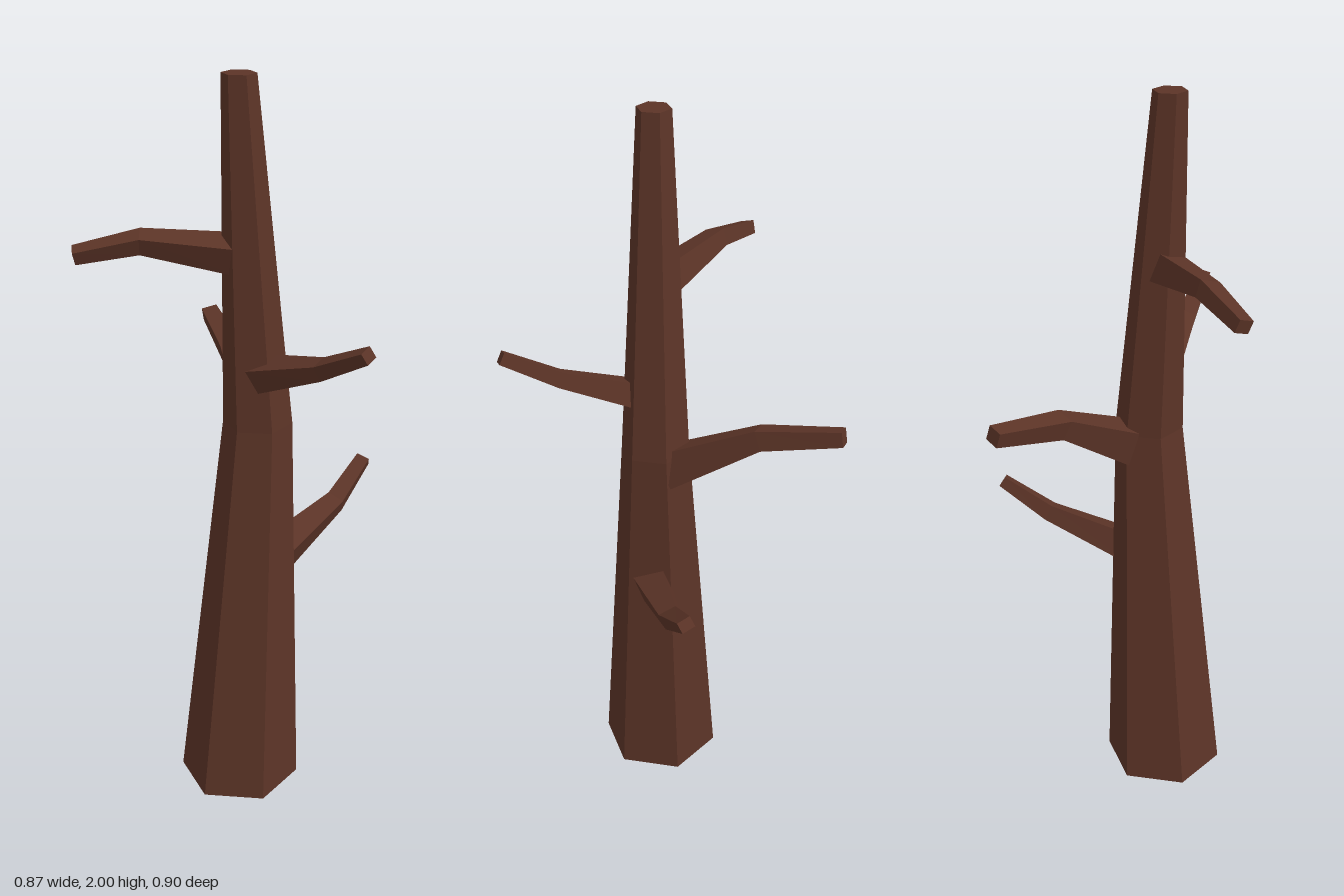
import * as THREE from 'three';

const V = (x, y, z) => new THREE.Vector3(x, y, z);

// Capped skin over a list of rings, each an equal-length loop of points
function loft(rings, material, name) {
  const pos = [];
  const tri = (...pts) => pts.forEach((p) => pos.push(p.x, p.y, p.z));
  const n = rings[0].length;
  for (let i = 0; i < rings.length - 1; i++) {
    for (let j = 0; j < n; j++) {
      const k = (j + 1) % n;
      const [a, b, c, d] = [rings[i][j], rings[i][k], rings[i + 1][k], rings[i + 1][j]];
      tri(a, b, c);
      tri(a, c, d);
    }
  }
  const first = rings[0], last = rings[rings.length - 1];
  for (let j = 1; j < n - 1; j++) {
    tri(first[0], first[j + 1], first[j]);
    tri(last[0], last[j], last[j + 1]);
  }
  const geo = new THREE.BufferGeometry();
  geo.setAttribute('position', new THREE.Float32BufferAttribute(pos, 3));
  geo.computeVertexNormals();
  const mesh = new THREE.Mesh(geo, material);
  mesh.name = name;
  return mesh;
}

// Level hexagon with corners pointing along z
function hexRing([x, y, z, r]) {
  return Array.from({ length: 6 }, (_, i) => {
    const a = (i * Math.PI) / 3;
    return V(x + r * Math.sin(a), y, z + r * Math.cos(a));
  });
}

// Rectangular cross-sections across a bent path, rolled about its direction
function branchRings(sections, roll) {
  const pts = sections.map(([x, y, z]) => V(x, y, z));
  return sections.map(([, , , w, h], i) => {
    const t = pts[Math.min(i + 1, pts.length - 1)].clone().sub(pts[Math.max(i - 1, 0)]).normalize();
    const up = V(0, 1, 0).addScaledVector(t, -t.y).normalize().applyAxisAngle(t, roll);
    const side = t.clone().cross(up);
    return [[1, -1], [1, 1], [-1, 1], [-1, -1]].map(([a, b]) =>
      pts[i].clone().addScaledVector(up, (a * h) / 2).addScaledVector(side, (b * w) / 2));
  });
}

export function createModel() {
  const group = new THREE.Group();
  group.name = 'bareTree';
  const bark = new THREE.MeshStandardMaterial({ color: 0x5c3427, flatShading: true });

  // Bent, tapering trunk: x, y, z, radius
  const trunk = [[-0.052, 0, 0.07, 0.167], [0.005, 1.09, 0.064, 0.092], [-0.05, 2, 0.071, 0.044]];
  group.add(loft(trunk.map(hexRing), bark, 'trunk'));

  // Branches: x, y, z, width, height per section
  const branches = [
    ['leftBranch', 0.35, [[0.04, 0.67, 0.075, 0.09, 0.085], [0.295, 0.75, -0.035, 0.05, 0.045], [0.417, 0.835, -0.1, 0.038, 0.03]]],
    ['rightBranch', -0.3, [[-0.03, 1.55, 0.07, 0.085, 0.08], [-0.27, 1.583, -0.046, 0.056, 0.045], [-0.425, 1.55, -0.106, 0.04, 0.035]]],
    ['frontBranch', 0.3, [[-0.012, 1.235, 0.09, 0.09, 0.07], [0.072, 1.31, 0.3, 0.048, 0.042], [0.125, 1.385, 0.437, 0.038, 0.032]]],
    ['backBranch', -0.2, [[0.025, 1.045, 0.02, 0.095, 0.1], [0.055, 1.183, -0.225, 0.06, 0.055], [0.079, 1.225, -0.44, 0.044, 0.04]]],
  ];
  for (const [name, roll, sections] of branches) {
    group.add(loft(branchRings(sections, roll), bark, name));
  }
  return group;
}
